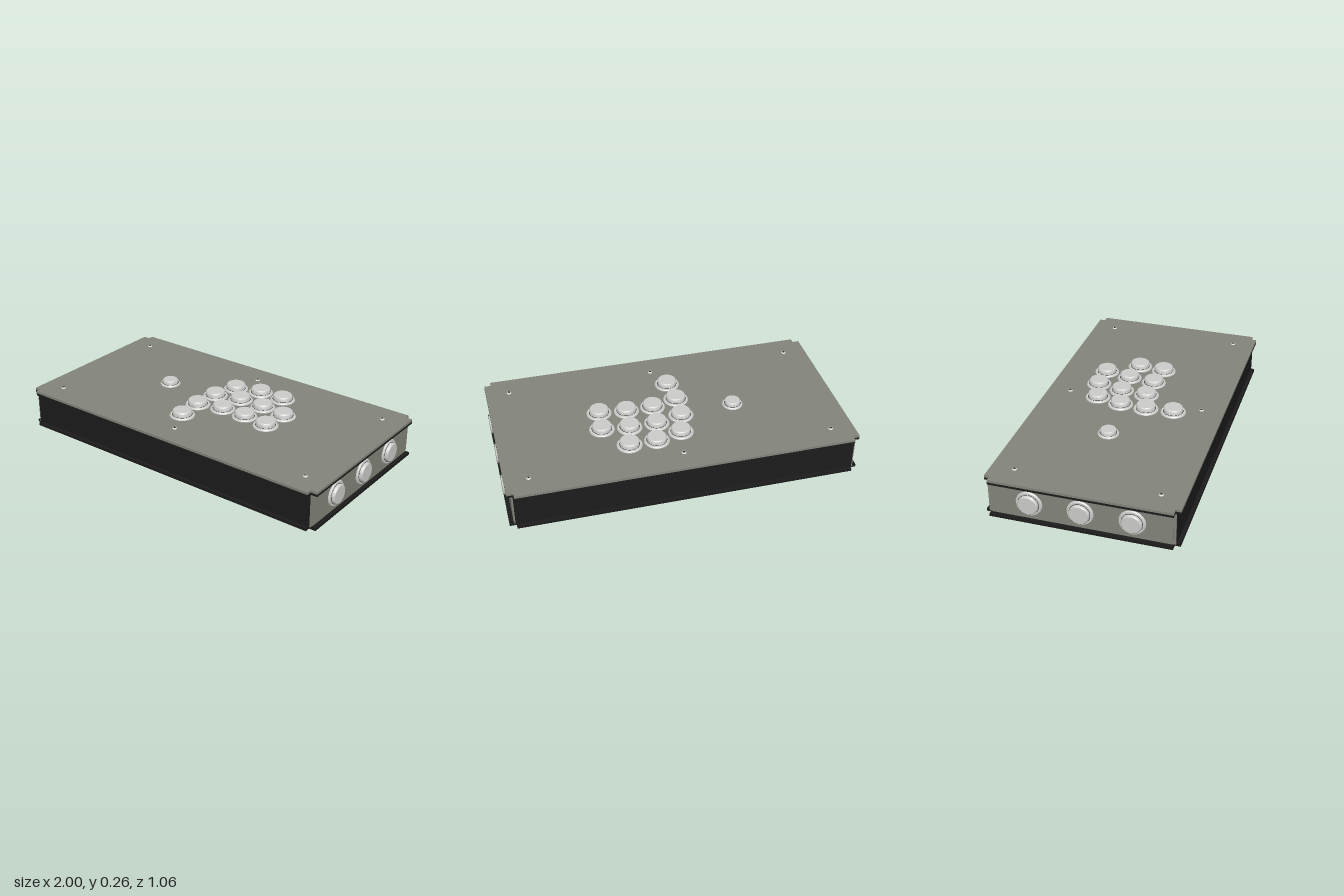
import * as THREE from 'three';
import { toCreasedNormals } from 'three/addons/utils/BufferGeometryUtils.js';

const mat = (name, color) => {
  const m = new THREE.MeshStandardMaterial({ color });
  m.name = name;
  return m;
};

export function createModel() {
  const grey = mat('warm grey panel', 0x84857b);
  const black = mat('black', 0x1c1c1c);
  const light = mat('light grey plastic', 0xcdcdcb);

  const model = new THREE.Group();
  model.name = 'buttonController';

  const add = (parent, name, geometry, material, x = 0, y = 0, z = 0) => {
    const mesh = new THREE.Mesh(geometry, material);
    mesh.name = name;
    mesh.position.set(x, y, z);
    parent.add(mesh);
    return mesh;
  };

  // Plates with a square notch at each corner
  const outline = new THREE.Shape([
    [-0.957, -0.528], [0.957, -0.528], [0.957, -0.497], [0.995, -0.497],
    [0.995, 0.497], [0.957, 0.497], [0.957, 0.528], [-0.957, 0.528],
    [-0.957, 0.497], [-0.995, 0.497], [-0.995, -0.497], [-0.957, -0.497],
  ].map(([x, y]) => new THREE.Vector2(x, y)));
  const plate = (name, material, y0, y1) => {
    const g = new THREE.ExtrudeGeometry(outline, { depth: y1 - y0, bevelEnabled: false });
    g.rotateX(-Math.PI / 2);
    add(model, name, g, material, 0, y0, 0);
  };
  plate('bottomPlate', black, 0, 0.016);
  plate('topUnderlay', black, 0.2, 0.213);
  plate('topPlate', grey, 0.213, 0.227);

  // Walls between the plates
  for (const s of [1, -1]) {
    add(model, s > 0 ? 'frontWall' : 'backWall',
      new THREE.BoxGeometry(1.926, 0.184, 0.017), black, 0, 0.108, s * 0.4985);
    add(model, s > 0 ? 'leftWall' : 'rightWall',
      new THREE.BoxGeometry(0.012, 0.184, 0.98), grey, s * 0.966, 0.108, 0);
    // Thin end caps of the front and back walls
    for (const t of [1, -1]) {
      add(model, 'wallEnd', new THREE.BoxGeometry(0.006, 0.184, 0.015), grey,
        s * 0.966, 0.108, t * 0.4985);
    }
  }

  // Round push button: flange ring plus a raised, slightly rounded plunger
  const lathe = (pts) => toCreasedNormals(
    new THREE.LatheGeometry(pts.map(([r, y]) => new THREE.Vector2(r, y)), 40), 0.5);
  const makeButton = (name, outer, inner, height) => {
    const button = new THREE.Group();
    button.name = name;
    add(button, 'flange', lathe([
      [outer, 0], [outer, 0.004], [outer - 0.005, 0.01], [inner, 0.01],
    ]), light);
    add(button, 'gap', new THREE.CylinderGeometry(inner + 0.002, inner + 0.002, 0.002, 40),
      black, 0, 0.0095, 0);
    add(button, 'plunger', lathe([
      [inner, 0], [inner, height - 0.007], [inner - 0.002, height - 0.003],
      [inner - 0.006, height], [0, height],
    ]), light);
    model.add(button);
    return button;
  };

  // Buttons on the top
  const spots = [
    [-0.03, -0.216], [0.12, -0.259], [0.276, -0.259],
    [-0.07, -0.066], [0.083, -0.106], [0.241, -0.106], [0.397, -0.085],
    [-0.08, 0.089], [0.07, 0.049], [0.225, 0.049], [0.383, 0.068],
    [-0.067, 0.247],
  ];
  for (const [x, z] of spots) {
    makeButton('topButton', 0.073, 0.056, 0.038).position.set(x, 0.227, z);
  }
  makeButton('smallTopButton', 0.06, 0.046, 0.033).position.set(-0.389, 0.227, -0.036);

  // Three buttons on each end
  for (const s of [1, -1]) {
    for (const z of [-0.278, 0, 0.278]) {
      const b = makeButton('sideButton', 0.073, 0.056, 0.028);
      b.rotation.z = -s * Math.PI / 2;
      b.position.set(s * 0.972, 0.11, z);
    }
  }

  // Screws with a dark socket
  for (const x of [-0.86, 0, 0.86]) {
    for (const z of [-0.397, 0.397]) {
      add(model, 'screw', new THREE.CylinderGeometry(0.009, 0.014, 0.006, 20), light, x, 0.23, z);
      add(model, 'screwSocket', new THREE.CylinderGeometry(0.007, 0.007, 0.002, 6), black,
        x, 0.2328, z);
    }
  }
  return model;
}
